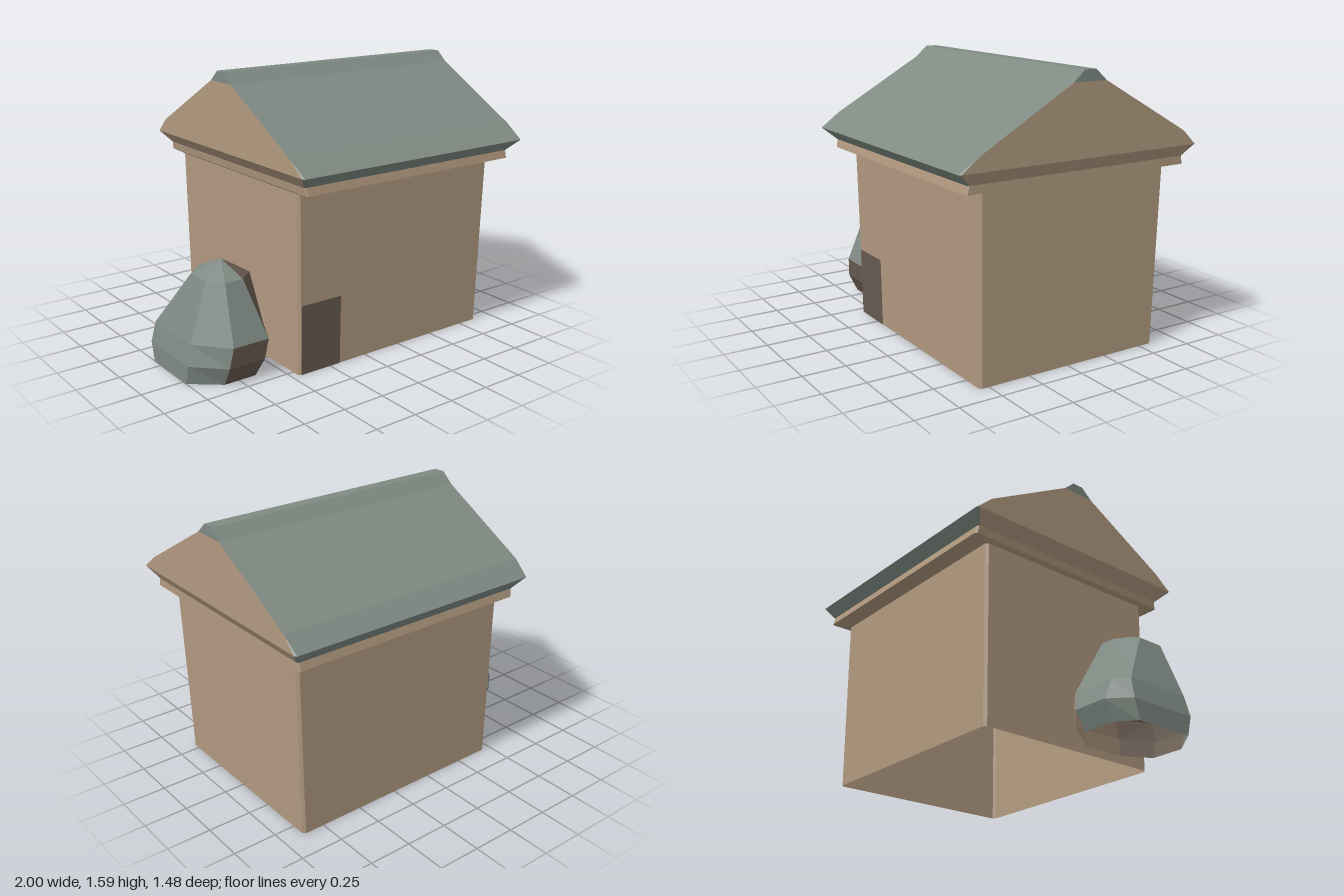
import * as THREE from 'three';

const COLORS = { Tan: 0xb29a80, Green: 0x7f8a83, Brown: 0x8a7663, Dark: 0x685b50 };

// Skins rings of equal length from bottom to top; paint(band, side) names each panel's colour.
function loft(name, rings, paint) {
  const group = new THREE.Group();
  group.name = name;
  const byColor = new Map();
  for (let r = 0; r < rings.length - 1; r++) {
    const low = rings[r], high = rings[r + 1], n = low.length;
    for (let k = 0; k < n; k++) {
      const color = paint(r, k), j = (k + 1) % n;
      if (!byColor.has(color)) byColor.set(color, []);
      const out = byColor.get(color);
      const tri = (a, b, c) => {
        if (a.equals(b) || b.equals(c) || a.equals(c)) return;
        for (const p of [a, b, c]) out.push(p.x, p.y, p.z);
      };
      tri(low[k], high[k], high[j]);
      tri(low[k], high[j], low[j]);
    }
  }
  for (const [color, positions] of byColor) {
    const geometry = new THREE.BufferGeometry();
    geometry.setAttribute('position', new THREE.Float32BufferAttribute(positions, 3));
    geometry.computeVertexNormals();
    const mesh = new THREE.Mesh(geometry, new THREE.MeshStandardMaterial({
      color: COLORS[color], flatShading: true, side: THREE.DoubleSide,
    }));
    mesh.name = name + color + 'Panels';
    group.add(mesh);
  }
  return group;
}

const ring = (y, points) => points.map(([x, z]) => new THREE.Vector3(x, y, z));
const point = (x, y, z) => ring(y, Array(8).fill([x, z]));

// Rectangle with small chamfered corners; sides 1, 3, 5, 7 are front, -x end, back, +x end.
const rect = (y, x0, x1, z0, z1, c) => ring(y, [
  [x1, z1 - c], [x1 - c, z1], [x0 + c, z1], [x0, z1 - c],
  [x0, z0 + c], [x0 + c, z0], [x1 - c, z0], [x1, z0 + c],
]);

export function createModel() {
  const model = new THREE.Group();
  model.name = 'houseWithRock';

  // Hollow walls, flaring slightly upward and open underneath
  const wallTop = rect(1.02, -0.473, 0.9, -0.607, 0.57, 0.015);
  model.add(loft('walls', [
    rect(0, -0.46, 0.88, -0.592, 0.555, 0.015),
    wallTop,
  ], () => 'Tan'));

  // Cornice under the eaves
  const corniceTop = rect(1.08, -0.505, 0.953, -0.69, 0.67, 0.01);
  model.add(loft('cornice', [
    wallTop,
    rect(1.035, -0.497, 0.953, -0.7, 0.68, 0.01),
    corniceTop,
  ], () => 'Tan'));

  // Gabled roof: tan ends, green slopes, eaves and ridge cap
  const isEnd = (side) => side === 3 || side === 7;
  model.add(loft('roof', [
    corniceTop,
    rect(1.147, -0.565, 0.998, -0.742, 0.742, 0.01),
    rect(1.228, -0.565, 0.998, -0.65, 0.625, 0),
    rect(1.53, -0.565, 0.998, -0.112, 0.092, 0),
    rect(1.59, -0.565, 0.998, -0.045, 0.025, 0),
    point(0.215, 1.59, -0.01),
  ], (band, side) => (band < 3 && isEnd(side) ? 'Tan' : 'Green')));

  // Door panel, leaning with the front wall
  const door = new THREE.Mesh(
    new THREE.PlaneGeometry(0.262, 0.4),
    new THREE.MeshStandardMaterial({ color: COLORS.Dark }),
  );
  door.name = 'door';
  door.position.set(-0.314, 0.2, 0.561);
  door.rotation.x = Math.atan(0.015 / 1.02);
  model.add(door);

  // Faceted hollow boulder beside the house, with bare patches on its inner side
  const bare = { 0: 'Dark', 1: 'Dark', 6: 'Tan', 7: 'Brown' };
  model.add(loft('boulder', [
    ring(0, [[-0.555, 0.25], [-0.645, 0.41], [-0.84, 0.41], [-1, 0.28],
      [-1, -0.07], [-0.9, -0.15], [-0.71, -0.15], [-0.555, 0]]),
    ring(0.11, [[-0.52, 0.28], [-0.62, 0.465], [-0.84, 0.465], [-1, 0.31],
      [-1, -0.1], [-0.895, -0.2], [-0.69, -0.2], [-0.52, -0.04]]),
    ring(0.225, [[-0.505, 0.28], [-0.6, 0.475], [-0.82, 0.475], [-0.975, 0.3],
      [-0.975, -0.09], [-0.91, -0.158], [-0.65, -0.158], [-0.505, -0.03]]),
    ring(0.545, [[-0.59, 0.28], [-0.68, 0.355], [-0.79, 0.355], [-0.86, 0.275],
      [-0.86, 0.12], [-0.75, 0.02], [-0.68, 0.02], [-0.59, 0.14]]),
    point(-0.72, 0.625, 0.2),
  ], (band, side) => (side === 1 && band > 1 ? 'Green' : bare[side] ?? 'Green')));

  return model;
}
